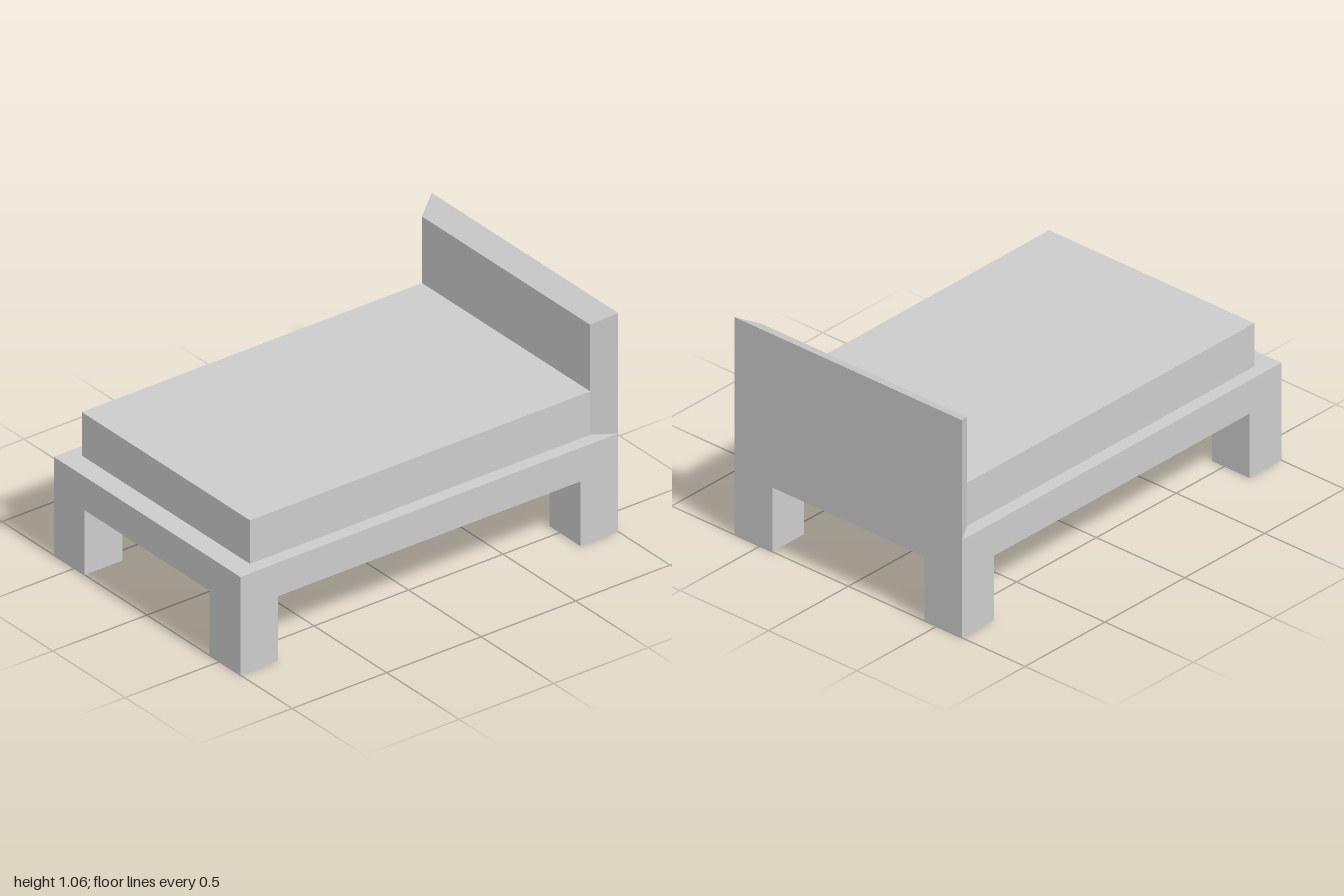
import * as THREE from 'three';

const HALF_W = 0.643, HALF_L = 1;          // bed footprint
const LEG_H = 0.312, FRAME_TOP = 0.474;    // underside and top of the frame
const INNER_W = 0.58, INNER_L = 0.9;       // mattress footprint
const MATTRESS_TOP = 0.684;

export function createModel() {
  const bed = new THREE.Group();
  bed.name = 'bed';
  const material = new THREE.MeshStandardMaterial({ color: 0xcccccc, flatShading: true });

  // Adds a block given its bounds on each axis
  function block(name, [x0, x1], [y0, y1], [z0, z1]) {
    const geometry = new THREE.BoxGeometry(x1 - x0, y1 - y0, z1 - z0);
    geometry.translate((x0 + x1) / 2, (y0 + y1) / 2, (z0 + z1) / 2);
    const mesh = new THREE.Mesh(geometry, material);
    mesh.name = name;
    bed.add(mesh);
    return mesh;
  }

  block('frame', [-HALF_W, HALF_W], [LEG_H, FRAME_TOP], [-HALF_L, HALF_L]);
  block('mattress', [-INNER_W, INNER_W], [FRAME_TOP, MATTRESS_TOP], [-INNER_L, INNER_L]);

  // Four square corner legs
  const legX = [0.43, HALF_W], legZ = [0.8, HALF_L];
  const mirror = ([a, b], side) => (side > 0 ? [a, b] : [-b, -a]);
  for (const [end, sz] of [['front', 1], ['back', -1]]) {
    for (const [side, sx] of [['Left', 1], ['Right', -1]]) {
      block(`${end}${side}Leg`, mirror(legX, sx), [0, LEG_H], mirror(legZ, sz));
    }
  }

  // Headboard: full size at the back, its sides and top bevelled in to the front face
  const headboard = block('headboard', [-HALF_W, HALF_W], [FRAME_TOP, 1.056], [-HALF_L, -INNER_L]);
  const pos = headboard.geometry.attributes.position;
  for (let i = 0; i < pos.count; i++) {
    if (pos.getZ(i) < -0.95) continue;
    pos.setX(i, Math.sign(pos.getX(i)) * INNER_W);
    if (pos.getY(i) > 0.8) pos.setY(i, 1.005);
  }
  headboard.geometry.computeVertexNormals();

  return bed;
}
